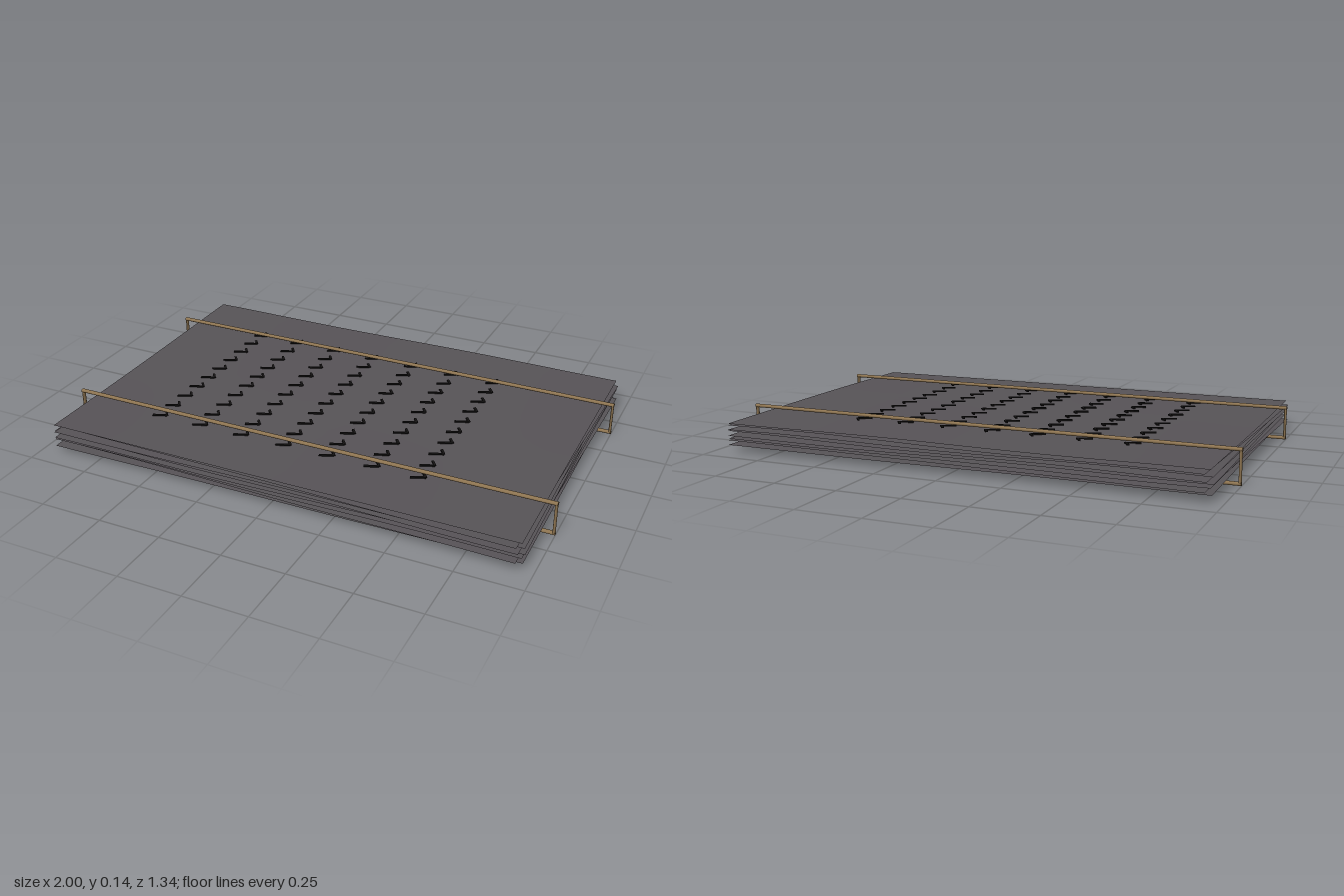
import * as THREE from 'three';

export function createModel() {
  const model = new THREE.Group();
  const sheetMat = new THREE.MeshStandardMaterial({ color: 0x575357, side: THREE.DoubleSide });
  sheetMat.name = 'dark sheet';
  const bronze = new THREE.MeshStandardMaterial({ color: 0x8c7350 });
  bronze.name = 'bronze';
  const ink = new THREE.MeshStandardMaterial({ color: 0x141212 });
  ink.name = 'black ink';

  // Stack of thin, slightly wavy sheets, each turned a little
  const turns = [0.012, -0.017, 0.006, 0.018, -0.010, 0.015, -0.018, 0.004];
  turns.forEach((turn, i) => {
    const geo = new THREE.PlaneGeometry(1.9, 1.31, 24, 16).rotateX(-Math.PI / 2);
    const p = geo.attributes.position;
    for (let k = 0; k < p.count; k++) {
      p.setY(k, 0.003 * Math.sin(p.getX(k) * 5 + i * 0.9) * Math.cos(p.getZ(k) * 3 + i * 0.4));
    }
    geo.computeVertexNormals();
    const sheet = new THREE.Mesh(geo, sheetMat);
    sheet.name = 'sheet';
    sheet.position.y = 0.025 + i * 0.0122;
    sheet.rotation.y = turn;
    model.add(sheet);
  });

  // Rows of hooked marks on the top sheet, each made of two strokes
  const marks = new THREE.Group();
  marks.name = 'marks';
  const stroke = (tipX, tipZ, dx, dz) => {
    const mesh = new THREE.Mesh(new THREE.BoxGeometry(Math.hypot(dx, dz), 0.005, 0.009), ink);
    mesh.name = 'stroke';
    mesh.position.set(tipX + dx / 2, 0.1185, tipZ + dz / 2);
    mesh.rotation.y = Math.atan2(-dz, dx);
    marks.add(mesh);
  };
  for (let c = 0; c < 7; c++) {
    for (let r = 0; r < 10; r++) {
      const x = -0.583 + c * 0.183, z = -0.41 + r * 0.0915;
      stroke(x, z, -0.053, 0.021);
      stroke(x, z, -0.019, -0.026);
    }
  }
  model.add(marks);

  // Two rectangular wire bands around the stack
  const addBar = (band, length, x, y, upright) => {
    const geo = new THREE.CylinderGeometry(0.009, 0.009, length, 12);
    if (upright) geo.scale(0.6, 1, 1);
    else geo.rotateZ(Math.PI / 2).scale(1, 0.8, 1);
    const bar = new THREE.Mesh(geo, bronze);
    bar.name = upright ? 'bandSide' : 'bandRail';
    bar.position.set(x, y, 0);
    band.add(bar);
  };
  for (const z of [-0.397, 0.397]) {
    const band = new THREE.Group();
    band.name = 'band';
    band.position.z = z;
    for (const y of [0.0075, 0.13]) addBar(band, 2, 0, y, false);
    for (const x of [-0.9945, 0.9945]) addBar(band, 0.122, x, 0.069, true);
    model.add(band);
  }
  return model;
}
